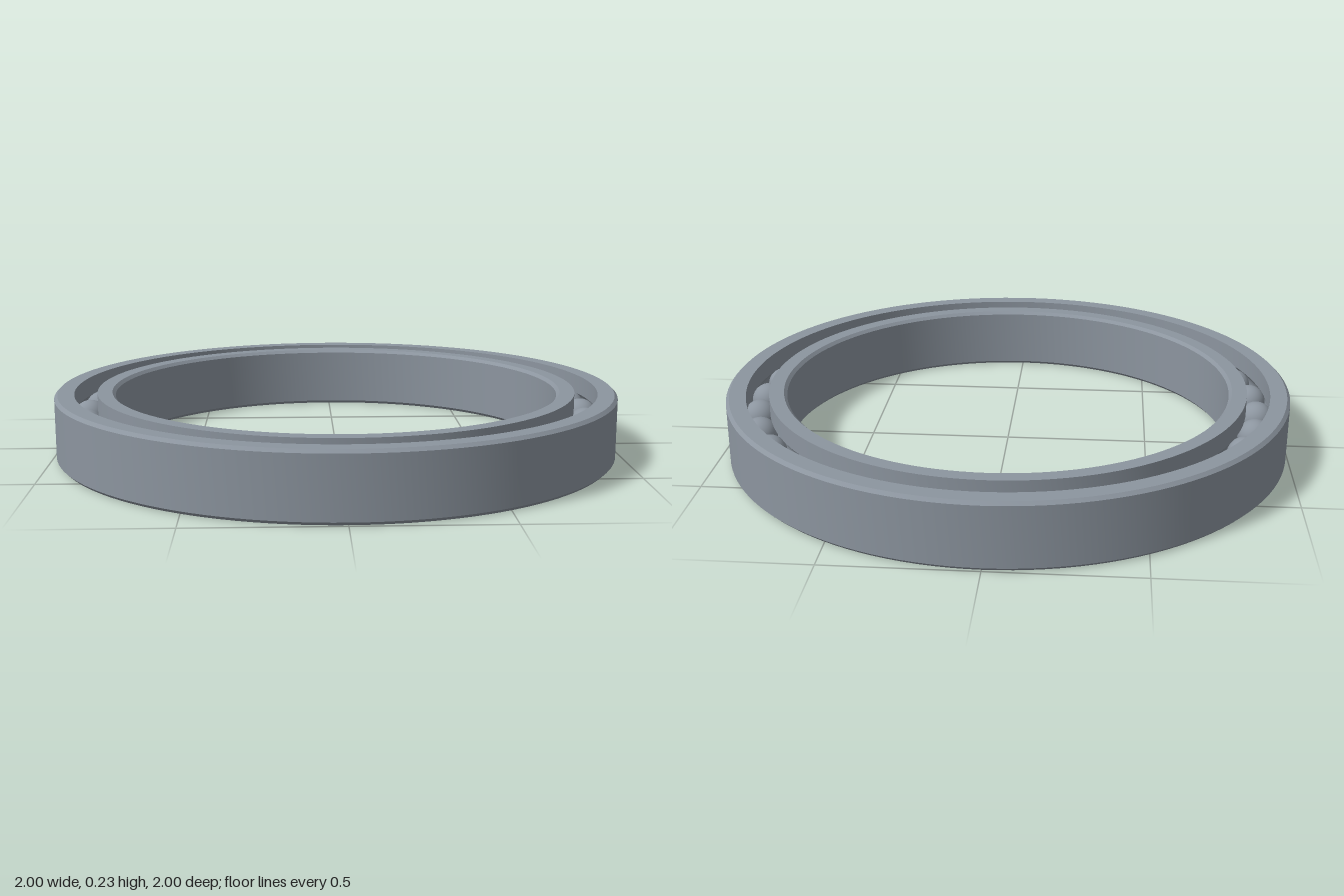
import * as THREE from 'three';
import { toCreasedNormals } from 'three/addons/utils/BufferGeometryUtils.js';

const HEIGHT = 0.228, MID = HEIGHT / 2, CHAMFER = 0.011;
const PITCH = 0.891, BALL_R = 0.06, BALLS = 34, START = -0.023;
const GAP = 0.04; // half the radial gap between the rings

export function createModel() {
  const steel = new THREE.MeshStandardMaterial({ color: 0x8c959f });
  steel.name = 'steel';
  const bearing = new THREE.Group();
  bearing.name = 'ballBearing';

  // Ring section: chamfered on the edge radius, ball groove on the race side.
  // side = 1 for the outer ring, -1 for the inner ring.
  function ring(name, edge, side) {
    const race = PITCH + side * GAP;
    const points = [
      [race, 0],
      [edge - side * CHAMFER, 0],
      [edge, CHAMFER],
      [edge, HEIGHT - CHAMFER],
      [edge - side * CHAMFER, HEIGHT],
      [race, HEIGHT],
    ];
    const grooveR = BALL_R + 0.001;
    const half = Math.acos(GAP / grooveR);
    for (let i = 0; i <= 8; i++) {
      const a = half * (1 - i / 4);
      points.push([PITCH + side * grooveR * Math.cos(a), MID + grooveR * Math.sin(a)]);
    }
    points.push([race, 0]);
    const profile = points.map(([x, y]) => new THREE.Vector2(x, y));
    if (side < 0) profile.reverse(); // keep faces pointing outward
    const geometry = toCreasedNormals(new THREE.LatheGeometry(profile, 128), 0.55);
    const mesh = new THREE.Mesh(geometry, steel);
    mesh.name = name;
    bearing.add(mesh);
  }
  ring('outerRing', 1, 1);
  ring('innerRing', 0.788, -1);

  // Balls evenly spaced around the race
  const balls = new THREE.Group();
  balls.name = 'balls';
  const ballGeometry = new THREE.SphereGeometry(BALL_R, 32, 20);
  for (let i = 0; i < BALLS; i++) {
    const a = START + (i / BALLS) * Math.PI * 2;
    const ball = new THREE.Mesh(ballGeometry, steel);
    ball.name = 'ball';
    ball.position.set(PITCH * Math.cos(a), MID, -PITCH * Math.sin(a));
    balls.add(ball);
  }
  bearing.add(balls);
  return bearing;
}
